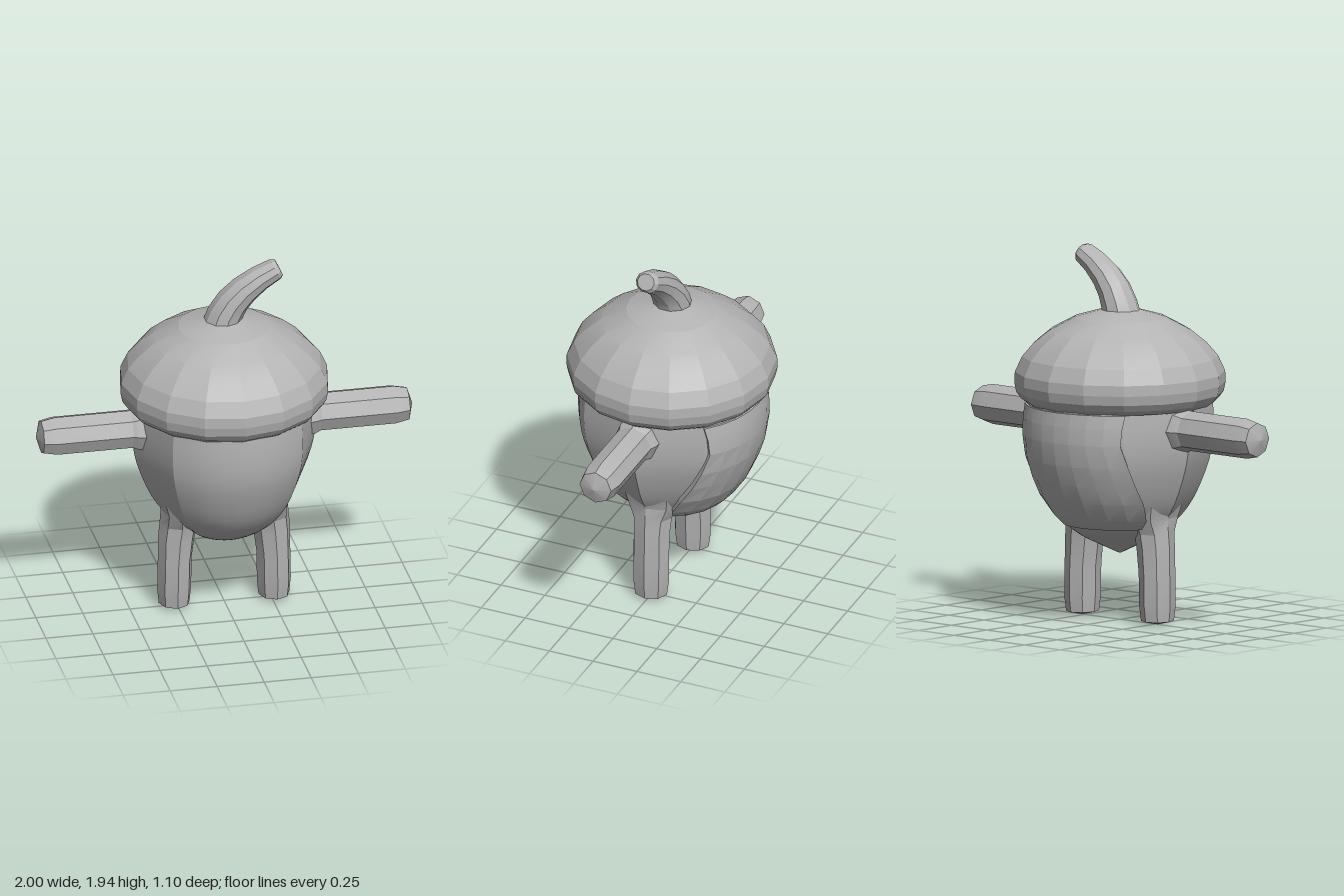
import * as THREE from 'three';
import { toCreasedNormals } from 'three/addons/utils/BufferGeometryUtils.js';

const V = (x, y, z) => new THREE.Vector3(x, y, z);

// Skin a list of equal-length rings; closed rings get centre-fan end caps.
function loft(rings, crease, { closed = true, tip = null } = {}) {
  const n = rings[0].length, pts = rings.flat(), index = [];
  const cols = closed ? n : n - 1;
  for (let i = 0; i < rings.length - 1; i++) {
    for (let j = 0; j < cols; j++) {
      const k = (j + 1) % n, a = i * n + j, b = i * n + k, c = b + n, d = a + n;
      index.push(a, d, b, d, c, b);
    }
  }
  if (closed) {
    const mean = (r) => r.reduce((s, p) => s.add(p), V(0, 0, 0)).divideScalar(n);
    const last = (rings.length - 1) * n, start = pts.length;
    pts.push(mean(rings[0]), tip || mean(rings[rings.length - 1]));
    for (let j = 0; j < n; j++) {
      const k = (j + 1) % n;
      index.push(start, j, k, start + 1, last + k, last + j);
    }
  }
  const g = new THREE.BufferGeometry().setFromPoints(pts);
  g.setIndex(index);
  return toCreasedNormals(g, crease);
}

// Eight-sided limb along stations [centre, radius along u, radius across u].
function limb(stations, u, sides, crease, tip) {
  const rings = stations.map(([c, ru, rv], i) => {
    const p = stations[Math.max(i - 1, 0)][0];
    const q = stations[Math.min(i + 1, stations.length - 1)][0];
    const d = q.clone().sub(p).normalize();
    const v = u.clone().cross(d).normalize();
    return Array.from({ length: sides }, (_, j) => {
      const t = (j / sides) * Math.PI * 2;
      return c.clone().addScaledVector(u, ru * Math.cos(t)).addScaledVector(v, rv * Math.sin(t));
    });
  });
  return loft(rings, crease, { tip });
}

// Nut outline: radius against height
const outline = new THREE.SplineCurve([
  [0.004, 0.35], [0.1, 0.395], [0.2, 0.445], [0.29, 0.515], [0.385, 0.64],
  [0.465, 0.84], [0.488, 1.0], [0.482, 1.16],
].map(([r, y]) => new THREE.Vector2(r, y)));

function radiusAt(y) {
  let lo = 0, hi = 1;
  for (let i = 0; i < 24; i++) {
    const m = (lo + hi) / 2;
    if (outline.getPoint(m).y < y) lo = m; else hi = m;
  }
  return outline.getPoint(lo).x;
}

export function createModel() {
  const group = new THREE.Group();
  const grey = new THREE.MeshStandardMaterial({ color: 0xb3b3b3 });
  const add = (name, geometry) => {
    const mesh = new THREE.Mesh(geometry, grey);
    mesh.name = name;
    group.add(mesh);
    return mesh;
  };

  // Body: round front and back, with two flat panels meeting on each side
  const angles = [0];
  for (let i = 0; i <= 8; i++) angles.push(45 + i * 11.25);
  angles.push(180);
  for (let i = 0; i <= 8; i++) angles.push(225 + i * 11.25);
  const bodyRings = outline.getPoints(21).map(({ x: r, y }) => angles.map((a) => {
    const t = THREE.MathUtils.degToRad(a);
    return V(r * Math.cos(t), y, r * Math.sin(t));
  }));
  add('body', loft(bodyRings, 0.31));

  // Raised back shell, narrower at the top, with its rim turned into the body
  const shellRows = [
    [0.52, 64, -0.04], [0.51, 65, 0.015], [0.56, 66, 0.02], [0.66, 60, 0.022], [0.76, 53, 0.022],
    [0.86, 48, 0.022], [0.98, 43, 0.022], [1.07, 44, 0.018], [1.14, 46, 0.012], [1.14, 45, -0.04],
  ];
  const shellRings = shellRows.map(([y, half, lift]) => {
    const row = [];
    for (let j = -1; j <= 9; j++) {
      const s = THREE.MathUtils.clamp(j / 4 - 1, -1, 1);
      const t = THREE.MathUtils.degToRad(270 + s * half);
      const r = radiusAt(y) + (j < 0 || j > 8 ? -0.04 : lift);
      row.push(V(r * Math.cos(t), y, r * Math.sin(t)));
    }
    return row;
  });
  add('backShell', loft(shellRings, 0.2, { closed: false }));

  // Sixteen-sided cap
  const capProfile = [
    [0.4, 1.15], [0.48, 1.14], [0.515, 1.165], [0.54, 1.2], [0.55, 1.25], [0.547, 1.305],
    [0.51, 1.385], [0.45, 1.455], [0.37, 1.52], [0.24, 1.59], [0.1, 1.63],
  ];
  const capRings = capProfile.map(([r, y]) => Array.from({ length: 16 }, (_, j) => {
    const t = (j / 16) * Math.PI * 2;
    return V(r * Math.cos(t), y, r * Math.sin(t));
  }));
  add('cap', loft(capRings, 0.2));

  // Curved, tapering stem with a bevelled end
  add('stem', limb([
    [V(-0.01, 1.6, 0), 0.104, 0.1], [V(0.005, 1.655, 0), 0.1, 0.092],
    [V(0.045, 1.725, 0.006), 0.093, 0.085], [V(0.105, 1.79, 0.012), 0.084, 0.077],
    [V(0.185, 1.85, 0.017), 0.074, 0.067], [V(0.268, 1.895, 0.02), 0.065, 0.058],
    [V(0.287, 1.904, 0.02), 0.048, 0.045],
  ], V(0, 0, 1), 10, 0.45));

  for (const [side, s] of [['left', 1], ['right', -1]]) {
    // Straight arm with a blunt tip
    const arm = [[0.4, 0.13], [0.47, 0.118], [0.5, 0.105], [0.9, 0.105], [0.972, 0.09]];
    add(side + 'Arm', limb(arm.map(([x, r]) => [V(s * x, 1.04, 0), r, r]),
      V(0, 1, 0), 8, 0.3, V(s, 1.04, 0)));

    // Leg flaring into the body at the hip
    const leg = [
      [0.27, 0.64, 0.09, 0.17], [0.252, 0.56, 0.085, 0.15], [0.243, 0.48, 0.1, 0.108],
      [0.253, 0.4, 0.098, 0.102], [0.262, 0.27, 0.09, 0.101], [0.265, 0.1, 0.09, 0.101],
      [0.265, 0.02, 0.082, 0.09],
    ];
    add(side + 'Leg', limb(leg.map(([x, y, rx, rz]) => [V(s * x, y, 0), rx, rz]),
      V(1, 0, 0), 8, 0.3, V(s * 0.265, 0, 0)));
  }
  return group;
}
